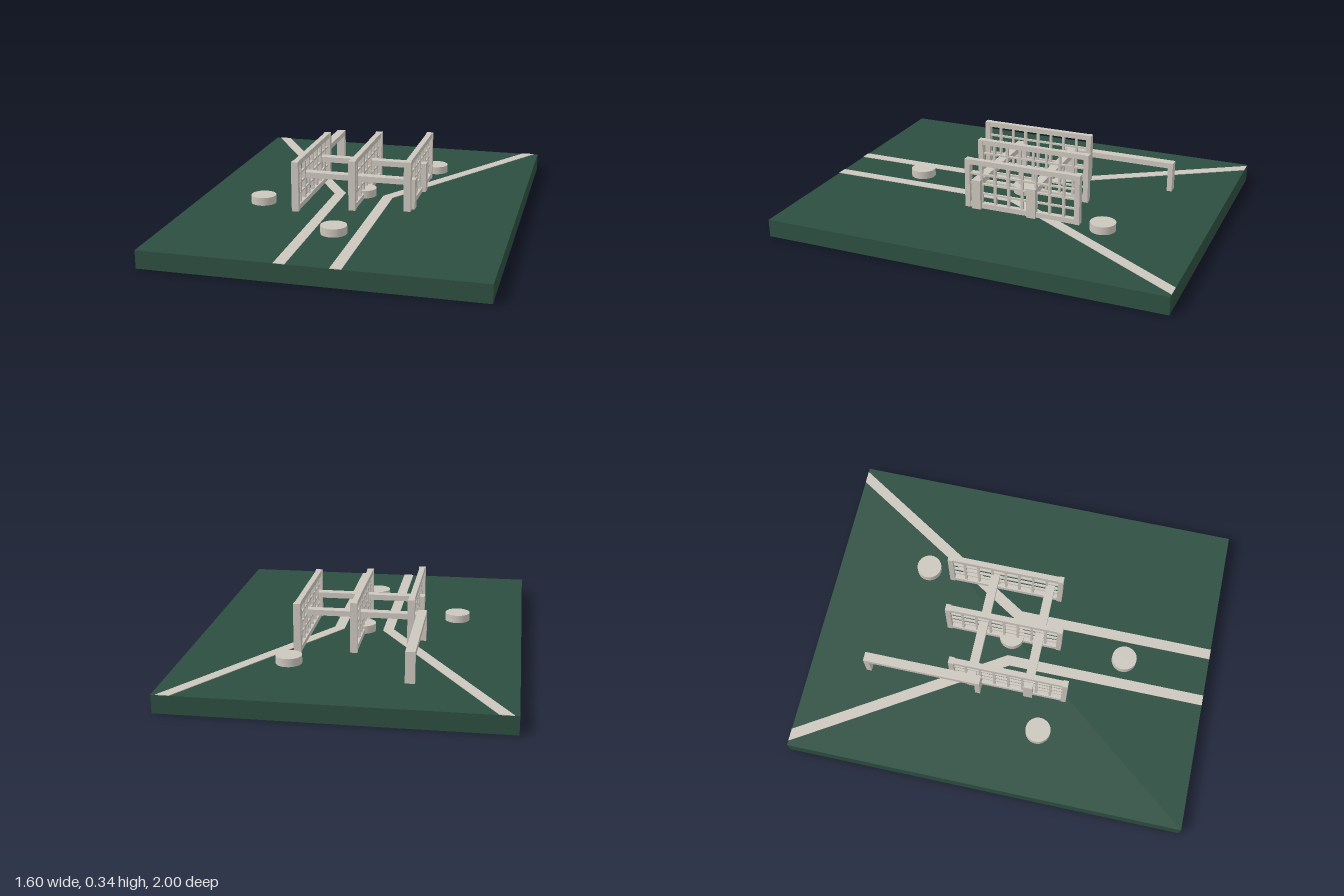
import * as THREE from 'three';

const BASE_TOP = 0.088;

export function createModel() {
  const green = new THREE.MeshStandardMaterial({ color: 0x2d4e41 });
  green.name = 'dark green';
  const stone = new THREE.MeshStandardMaterial({ color: 0xcbc6bd });
  stone.name = 'pale stone';

  const model = new THREE.Group();
  model.name = 'courtyardModel';

  // Box given by its min and max on each axis
  function box(parent, name, [x0, x1], [y0, y1], [z0, z1], material = stone) {
    const mesh = new THREE.Mesh(new THREE.BoxGeometry(x1 - x0, y1 - y0, z1 - z0), material);
    mesh.position.set((x0 + x1) / 2, (y0 + y1) / 2, (z0 + z1) / 2);
    mesh.name = name;
    parent.add(mesh);
  }
  const around = (c, width) => [c - width / 2, c + width / 2];
  function group(name) {
    const g = new THREE.Group();
    g.name = name;
    model.add(g);
    return g;
  }

  // Ground slab
  box(model, 'groundSlab', [-0.8, 0.8], [0, BASE_TOP], [-1, 1], green);

  // Two paths, straight at the front and splaying to the back corners
  for (const side of [-1, 1]) {
    const outline = [[0.1, 1], [0.153, 1], [0.153, 0], [0.778, -1], [0.715, -1], [0.1, -0.02]];
    const shape = new THREE.Shape(outline.map(([x, z]) => new THREE.Vector2(side * x, -z)));
    const geometry = new THREE.ExtrudeGeometry(shape, { depth: 0.003, bevelEnabled: false });
    geometry.rotateX(-Math.PI / 2);
    const path = new THREE.Mesh(geometry, stone);
    path.position.y = BASE_TOP;
    path.name = side > 0 ? 'leftPath' : 'rightPath';
    model.add(path);
  }

  // Staggered lattice screens
  const length = 0.6, top = 0.34, rail = 0.026;
  [[-0.267, 0.02], [0, -0.06], [0.267, -0.11]].forEach(([x, zc], i) => {
    const screen = group(`latticeScreen${i + 1}`);
    const z0 = zc - length / 2, z1 = zc + length / 2;
    box(screen, 'endPost', around(x, 0.035), [BASE_TOP, top], [z0, z0 + rail]);
    box(screen, 'endPost', around(x, 0.035), [BASE_TOP, top], [z1 - rail, z1]);
    box(screen, 'topRail', around(x, 0.028), [top - rail, top], [z0 + rail, z1 - rail]);
    box(screen, 'bottomRail', around(x, 0.028), [BASE_TOP, BASE_TOP + rail], [z0 + rail, z1 - rail]);
    for (let k = 1; k < 8; k++) {
      const z = z0 + rail / 2 + (k * (length - rail)) / 8;
      box(screen, 'uprightSlat', around(x, 0.016), [BASE_TOP + rail, top - rail], around(z, 0.012));
    }
    for (let k = 1; k < 4; k++) {
      const y = BASE_TOP + rail + (k * (top - BASE_TOP - 2 * rail)) / 4;
      box(screen, 'crossSlat', around(x, 0.012), around(y, 0.009), [z0 + rail, z1 - rail]);
    }
  });

  // Beams through the screens, each on two posts
  for (const z of [-0.165, 0.125]) {
    const beam = group('crossBeam');
    box(beam, 'beam', [-0.298, 0.298], [0.212, 0.24], around(z, 0.046));
    for (const s of [-1, 1])
      box(beam, 'beamPost', around(s * 0.284, 0.028), [BASE_TOP, 0.212], around(z, 0.046));
  }

  // Long side rail
  const sideRail = group('sideRail');
  box(sideRail, 'railTop', [-0.331, -0.285], [0.212, 0.24], [-0.712, -0.115]);
  for (const z of [-0.699, -0.128])
    box(sideRail, 'railPost', [-0.331, -0.285], [BASE_TOP, 0.212], around(z, 0.026));

  // Round stools
  for (const [x, z] of [[0.283, -0.53], [-0.465, 0.215], [0, 0.57], [0, -0.02]]) {
    const stool = new THREE.Mesh(new THREE.CylinderGeometry(0.063, 0.063, 0.04, 32), stone);
    stool.position.set(x, BASE_TOP + 0.02, z);
    stool.name = 'roundStool';
    model.add(stool);
  }

  return model;
}
